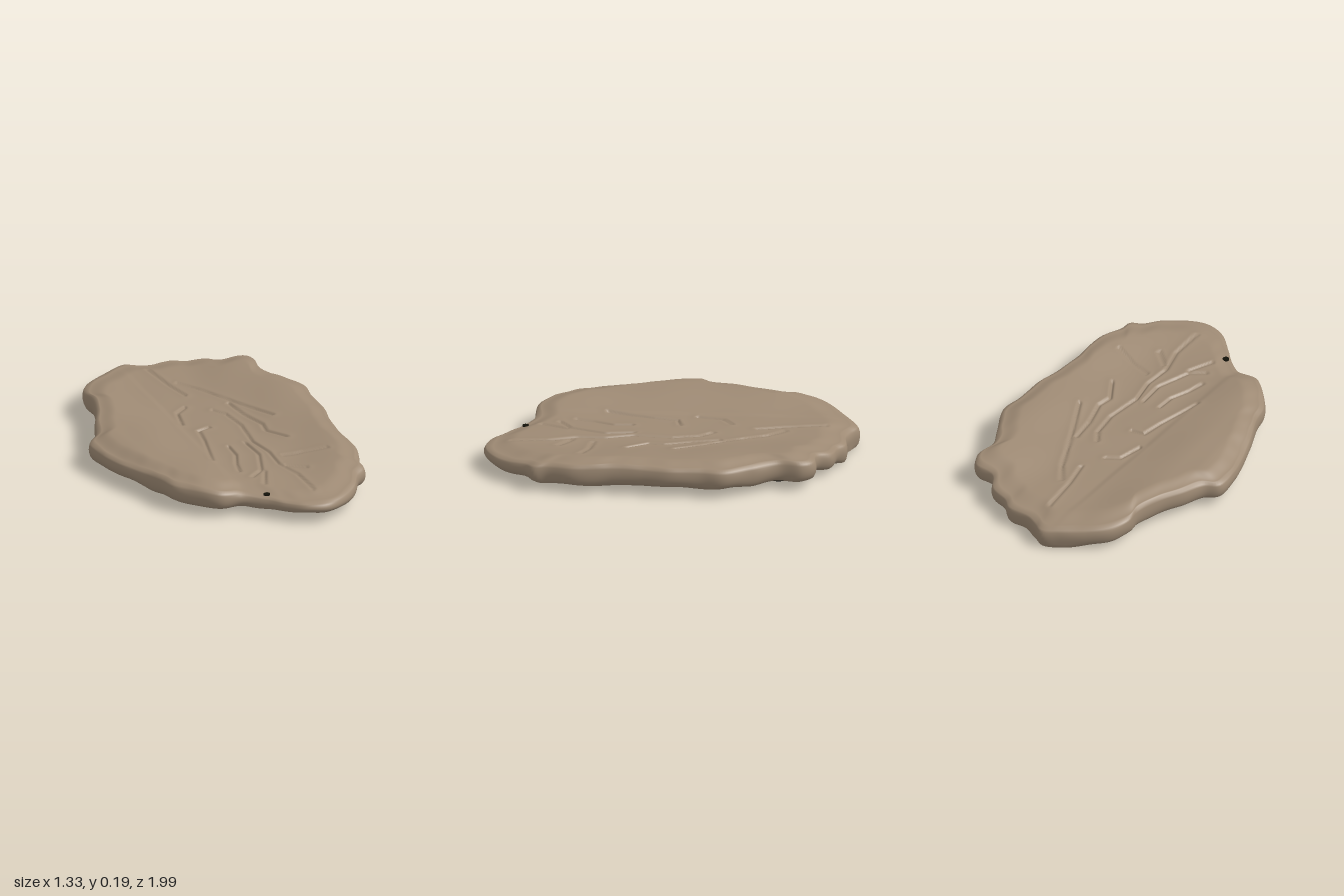
import * as THREE from 'three';

const SEGMENTS = 360;

// Plan outline, clockwise from the pointed back end, as x, z pairs
const OUTLINE = [
  [-0.03, -1], [0.03, -0.96], [0.1, -0.925], [0.22, -0.915], [0.27, -0.87], [0.37, -0.83], [0.42, -0.75],
  [0.53, -0.73], [0.57, -0.66], [0.55, -0.54], [0.6, -0.4], [0.66, -0.24], [0.635, -0.12], [0.62, 0.05],
  [0.58, 0.2], [0.555, 0.35], [0.545, 0.55], [0.49, 0.69], [0.48, 0.76], [0.42, 0.8], [0.35, 0.89],
  [0.25, 0.96], [0.13, 0.995], [0.03, 0.96], [-0.06, 0.87], [-0.13, 0.79], [-0.23, 0.71], [-0.35, 0.685],
  [-0.43, 0.61], [-0.52, 0.48], [-0.54, 0.37], [-0.6, 0.2], [-0.64, 0.05], [-0.66, -0.05], [-0.66, -0.2],
  [-0.59, -0.26], [-0.53, -0.38], [-0.46, -0.5], [-0.41, -0.64], [-0.41, -0.72], [-0.36, -0.82],
  [-0.25, -0.9], [-0.12, -0.965],
];

// Carved vein lines on the top, as x, z pairs
const VEINS = [
  [[0.02, -0.82], [0.03, -0.6], [0.05, -0.45]],
  [[0.08, -0.6], [0.14, -0.5], [0.2, -0.33], [0.27, -0.15], [0.33, 0]],
  [[0.09, -0.22], [0.13, -0.15], [0.14, 0], [0.1, 0.2], [0.12, 0.35], [0.1, 0.5], [0.13, 0.65], [0.12, 0.85]],
  [[0.2, -0.25], [0.21, -0.1], [0.24, 0.05], [0.22, 0.13], [0.28, 0.25]],
  [[-0.02, -0.32], [-0.09, -0.28], [-0.13, -0.15]],
  [[-0.02, -0.05], [-0.09, -0.04], [-0.12, 0.08], [-0.17, 0.23], [-0.2, 0.32]],
  [[-0.04, 0.2], [-0.05, 0.3], [-0.1, 0.4], [-0.13, 0.49]],
  [[0.06, 0.2], [0.06, 0.35], [-0.02, 0.53], [-0.1, 0.58]],
  [[-0.01, 0.55], [-0.08, 0.68]],
  [[0.13, 0.53], [0.21, 0.61]],
  [[0.17, 0.42], [0.28, 0.45], [0.39, 0.5]],
];

const { smoothstep, lerp } = THREE.MathUtils;

// Soft repeatable unevenness, about -1 to 1
const wobble = (x, z) =>
  0.45 * Math.sin(7 * x + 4 * z + 1.3) + 0.3 * Math.sin(13 * z - 5 * x) + 0.25 * Math.sin(17 * x + 11 * z + 2);

function segmentDistance(x, z, [ax, az], [bx, bz]) {
  const dx = bx - ax, dz = bz - az;
  const k = THREE.MathUtils.clamp(((x - ax) * dx + (z - az) * dz) / (dx * dx + dz * dz), 0, 1);
  return Math.hypot(x - ax - k * dx, z - az - k * dz);
}

// Narrow groove with a low raised lip on both sides
function veinDepth(x, z) {
  let d = 1;
  for (const vein of VEINS)
    for (let i = 1; i < vein.length; i++) d = Math.min(d, segmentDistance(x, z, vein[i - 1], vein[i]));
  return 0.004 * Math.exp(-((d / 0.03) ** 2)) - 0.013 * Math.exp(-((d / 0.009) ** 2));
}

// Dished top: low along the middle, raised towards the two long sides
function topHeight(x, z, t) {
  const side = x < 0 ? smoothstep(-x, 0.1, 0.42) * 0.035 : smoothstep(x, 0.15, 0.55) * 0.045;
  const ends = 1 - 0.75 * smoothstep(Math.abs(z), 0.55, 1);
  const fold = 0.006 * smoothstep(-x - 0.17 - 0.09 * z, -0.02, 0.02);
  const edgeDrop = 0.022 * smoothstep(t, 0.86, 1) + 0.022 * smoothstep(-x, 0.5, 0.66);
  return 0.146 + side * ends + fold * ends + 0.006 * wobble(x, z) * (0.4 + 0.6 * t) - edgeDrop + veinDepth(x, z);
}

// Lower rim of the side wall, dipping at the back point
const rimHeight = (x, z) =>
  0.05 + 0.009 * wobble(1.7 * x, 1.7 * z) * (1 - smoothstep(-z, 0.7, 1)) - 0.048 * smoothstep(-z, 0.72, 1);

function undersideHeight(x, z, t) {
  const floor = 0.019 + 0.013 * z + 0.03 * x * x;
  return lerp(floor, rimHeight(x, z), smoothstep(t, 0.82, 1));
}

// Joins closed rings of points; rows run so that faces look outwards
function skin(rows) {
  const geometry = new THREE.BufferGeometry();
  const index = [];
  for (let r = 0; r < rows.length - 1; r++) {
    for (let j = 0; j < SEGMENTS; j++) {
      const a = r * SEGMENTS + j, c = r * SEGMENTS + ((j + 1) % SEGMENTS);
      index.push(a, a + SEGMENTS, c, c, a + SEGMENTS, c + SEGMENTS);
    }
  }
  geometry.setAttribute('position', new THREE.Float32BufferAttribute(rows.flat(2), 3));
  geometry.setIndex(index);
  geometry.computeVertexNormals();
  return geometry;
}

export function createModel() {
  const clay = new THREE.MeshStandardMaterial({ color: 0x9e8a74 });
  clay.name = 'brown clay';
  const dark = new THREE.MeshStandardMaterial({ color: 0x121108 });
  dark.name = 'dark underside';

  const curve = new THREE.CatmullRomCurve3(
    OUTLINE.map(([x, z]) => new THREE.Vector3(x, 0, z)), true, 'centripetal');
  const edge = curve.getSpacedPoints(SEGMENTS).slice(0, SEGMENTS);
  const ring = (height, scale) => edge.map((p, j) => {
    const s = scale(p, j);
    return [p.x * s, height(p.x * s, p.z * s, p), p.z * s];
  });

  // Wall inset at the bottom and top, with uneven chipped hollows
  const bottomScale = (p) => 0.955 + 0.035 * smoothstep(-p.z, 0.7, 1) + 0.012 * wobble(2 * p.x, 2 * p.z);
  const topScale = (p) => 0.965 + 0.014 * wobble(2.3 * p.z, 2.3 * p.x);

  // Underside, from the centre out to the lower rim
  const lowerRows = [];
  for (let i = 0; i <= 24; i++) {
    const t = i / 24;
    lowerRows.push(ring((x, z) => undersideHeight(x, z, t), (p) => t * bottomScale(p)));
  }

  // Side wall, from the lower rim up, then the top surface in to the centre
  const upperRows = [];
  for (let i = 0; i < 10; i++) {
    const v = i / 10;
    const bulge = Math.sin(Math.PI * Math.min(v * 0.95, 1));
    upperRows.push(edge.map((p) => {
      const b = bottomScale(p), s = topScale(p);
      const low = rimHeight(p.x * b, p.z * b), high = topHeight(p.x * s, p.z * s, 1);
      const k = lerp(lerp(b, s, v), 1, Math.sqrt(Math.max(bulge, 0)));
      return [p.x * k, lerp(low, high, v), p.z * k];
    }));
  }
  for (let i = 80; i >= 0; i--) {
    const t = i / 80;
    upperRows.push(ring((x, z) => topHeight(x, z, t), (p) => t * topScale(p)));
  }

  const model = new THREE.Group();
  model.name = 'leafSlab';
  const add = (name, geometry, material) => {
    const mesh = new THREE.Mesh(geometry, material);
    mesh.name = name;
    model.add(mesh);
    return mesh;
  };
  add('carvedTopAndSides', skin(upperRows), clay);
  add('underside', skin(lowerRows), dark);

  // Small dark pit near the front edge
  const pit = add('pit', new THREE.CylinderGeometry(0.018, 0.018, 0.006, 12), dark);
  pit.position.set(-0.11, topHeight(-0.11, 0.76, 0.96), 0.76);
  return model;
}
